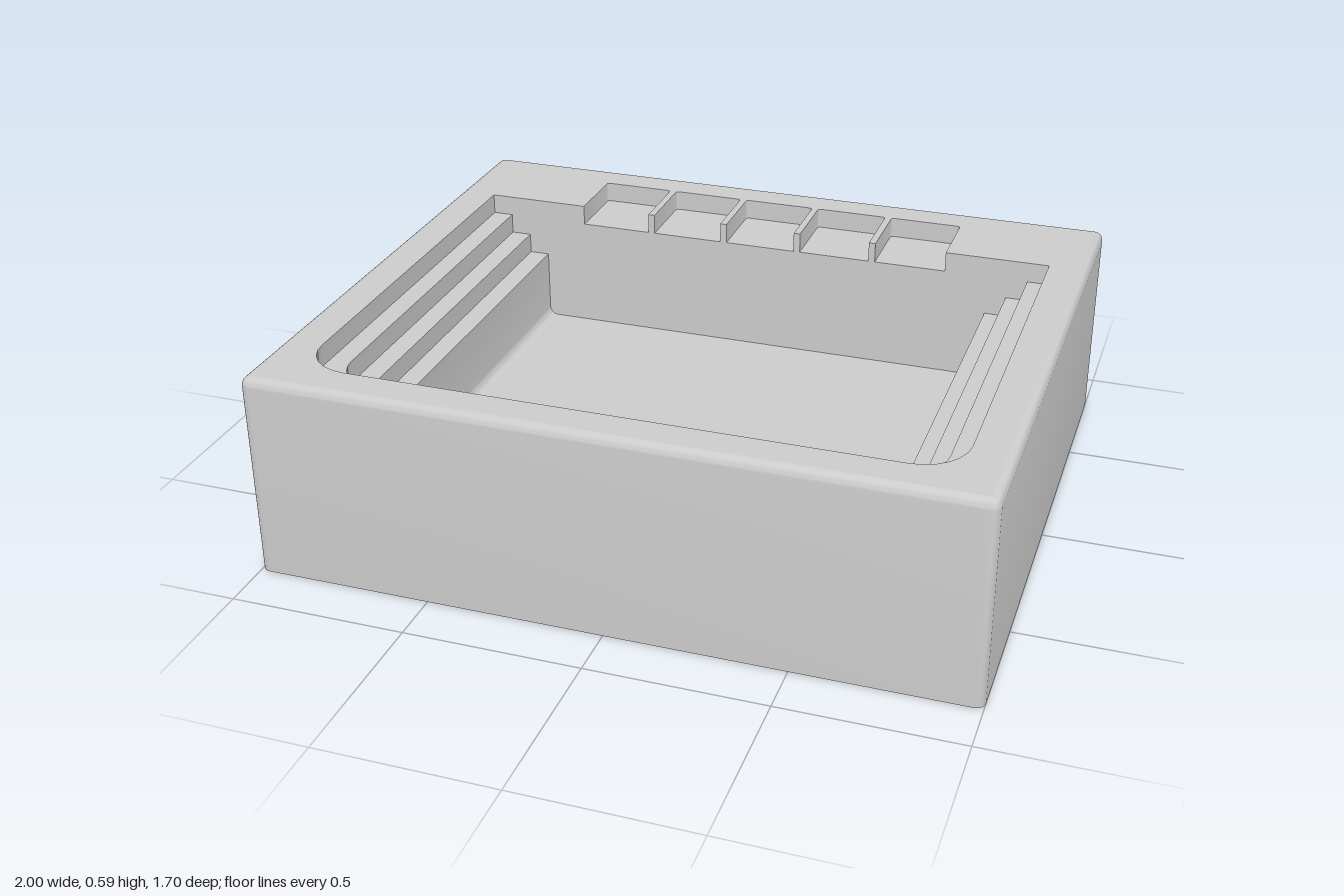
import * as THREE from 'three';
import { toCreasedNormals } from 'three/addons/utils/BufferGeometryUtils.js';

const TOP = 0.59, FLOOR = 0.2, BACK = -0.53, EDGE = 0.025, FILLET = 0.025;
// Half width, front z and corner radius of each basin outline, with the height its wall drops to
const STEPS = [
  { w: 0.885, f: 0.735, r: 0.13, y: 0.53 },
  { w: 0.825, f: 0.675, r: 0.11, y: 0.47 },
  { w: 0.765, f: 0.615, r: 0.09, y: 0.41 },
  { w: 0.705, f: 0.555, r: 0.06, y: FLOOR },
];
const TRAY = { count: 5, pitch: 0.235, w: 0.1075, back: -0.74, r: 0.01, y: 0.53 };

const material = new THREE.MeshStandardMaterial({ color: 0xcccccc });

// Quarter arc of points in (x, z)
function arc(cx, cz, r, a0, a1, n = 6) {
  return Array.from({ length: n + 1 }, (_, i) => {
    const a = a0 + (a1 - a0) * i / n;
    return [cx + r * Math.cos(a), cz + r * Math.sin(a)];
  });
}

// U-shaped outline opening at z = BACK, anticlockwise from above
function uPath(cx, w, end, r) {
  const s = Math.sign(end - BACK), q = s * Math.PI / 2;
  const path = [
    [cx - w, BACK],
    ...arc(cx - w + r, end - s * r, r, s * Math.PI, q),
    ...arc(cx + w - r, end - s * r, r, q, 0),
    [cx + w, BACK],
  ];
  return s > 0 ? path : path.reverse();
}

// Closed rounded rectangle, anticlockwise from above
function roundedRect(w, d, r) {
  const h = Math.PI / 2;
  const path = [
    ...arc(w - r, d - r, r, h, 0), ...arc(w - r, r - d, r, 0, -h),
    ...arc(r - w, r - d, r, -h, -2 * h), ...arc(r - w, d - r, r, -2 * h, -3 * h),
  ];
  return [...path, path[0]];
}

// Wall through a stack of outlines; listed upward it faces out, downward it faces in
function loft(layers) {
  const n = layers[0].path.length, pos = [], index = [];
  layers.forEach(({ path, y }) => path.forEach(([x, z]) => pos.push(x, y, z)));
  for (let j = 0; j < layers.length - 1; j++) {
    for (let i = 0; i < n - 1; i++) {
      const a = j * n + i, b = a + n;
      index.push(a, a + 1, b + 1, a, b + 1, b);
    }
  }
  const geo = new THREE.BufferGeometry();
  geo.setAttribute('position', new THREE.Float32BufferAttribute(pos, 3));
  geo.setIndex(index);
  return toCreasedNormals(geo, 0.6);
}

// Horizontal face looking up
function flat(path, y, hole) {
  const toShape = p => p.map(([x, z]) => new THREE.Vector2(x, -z));
  const shape = new THREE.Shape(toShape(path));
  if (hole) shape.holes.push(new THREE.Path(toShape(hole)));
  return new THREE.ShapeGeometry(shape).rotateX(-Math.PI / 2).translate(0, y, 0);
}

export function createModel() {
  const group = new THREE.Group();
  const add = (name, geo) => {
    const mesh = new THREE.Mesh(geo, material);
    mesh.name = name;
    group.add(mesh);
    return mesh;
  };

  // Outer block with rounded upright and top edges
  const shell = [{ path: roundedRect(1, 0.85, EDGE), y: 0 }];
  for (let i = 0; i <= 6; i++) {
    const a = i / 6 * Math.PI / 2, d = EDGE * (1 - Math.cos(a));
    shell.push({ path: roundedRect(1 - d, 0.85 - d, EDGE - d), y: TOP - EDGE + EDGE * Math.sin(a) });
  }
  add('outerShell', loft(shell));
  add('underside', flat(roundedRect(1, 0.85, EDGE), 0).rotateX(Math.PI));

  // Tray recesses open to the basin, listed right to left
  const trays = [];
  for (let i = TRAY.count - 1; i >= 0; i--) {
    const cx = (i - (TRAY.count - 1) / 2) * TRAY.pitch;
    trays.push({ cx, path: uPath(cx, TRAY.w, TRAY.back, TRAY.r) });
  }
  trays.forEach(({ path }) => {
    add('trayWall', loft([{ path, y: TOP }, { path, y: TRAY.y }]));
    add('trayFloor', flat(path, TRAY.y));
  });

  // Top rim around the basin and trays
  const outlines = STEPS.map(s => uPath(0, s.w, s.f, s.r));
  const opening = [...outlines[0], ...trays.flatMap(t => t.path)];
  add('rim', flat(roundedRect(1 - EDGE, 0.85 - EDGE, 0.0005), TOP, opening));

  // Stepped ledges on three sides
  for (let i = 0; i < STEPS.length - 1; i++) {
    const yTop = i ? STEPS[i - 1].y : TOP;
    add('stepRiser', loft([{ path: outlines[i], y: yTop }, { path: outlines[i], y: STEPS[i].y }]));
    add('stepTread', flat([...outlines[i], ...[...outlines[i + 1]].reverse()], STEPS[i].y));
  }

  // Deep basin, filleted into its floor
  const b = STEPS[3], basin = [{ path: outlines[3], y: STEPS[2].y }];
  for (let i = 0; i <= 5; i++) {
    const a = i / 5 * Math.PI / 2, d = FILLET * (1 - Math.cos(a));
    basin.push({ path: uPath(0, b.w - d, b.f - d, b.r - d), y: FLOOR + FILLET * (1 - Math.sin(a)) });
  }
  add('basinWall', loft(basin));
  add('basinFloor', flat(basin[basin.length - 1].path, FLOOR));

  // Back wall: stepped at the sides, notched along the top by the trays
  const side = [];
  STEPS.slice(0, 3).forEach((s, i) => side.push([s.w, i ? STEPS[i - 1].y : TOP], [s.w, s.y]));
  basin.forEach(({ path, y }) => side.push([path[path.length - 1][0], y]));
  const notches = [...trays].reverse().flatMap(({ cx }) => [
    [cx - TRAY.w, TOP], [cx - TRAY.w, TRAY.y], [cx + TRAY.w, TRAY.y], [cx + TRAY.w, TOP],
  ]);
  const profile = [...side.map(([x, y]) => [-x, y]).reverse(), ...notches, ...side];
  const backShape = new THREE.Shape(profile.map(([x, y]) => new THREE.Vector2(x, y)));
  add('backWall', new THREE.ShapeGeometry(backShape).translate(0, 0, BACK));

  return group;
}
